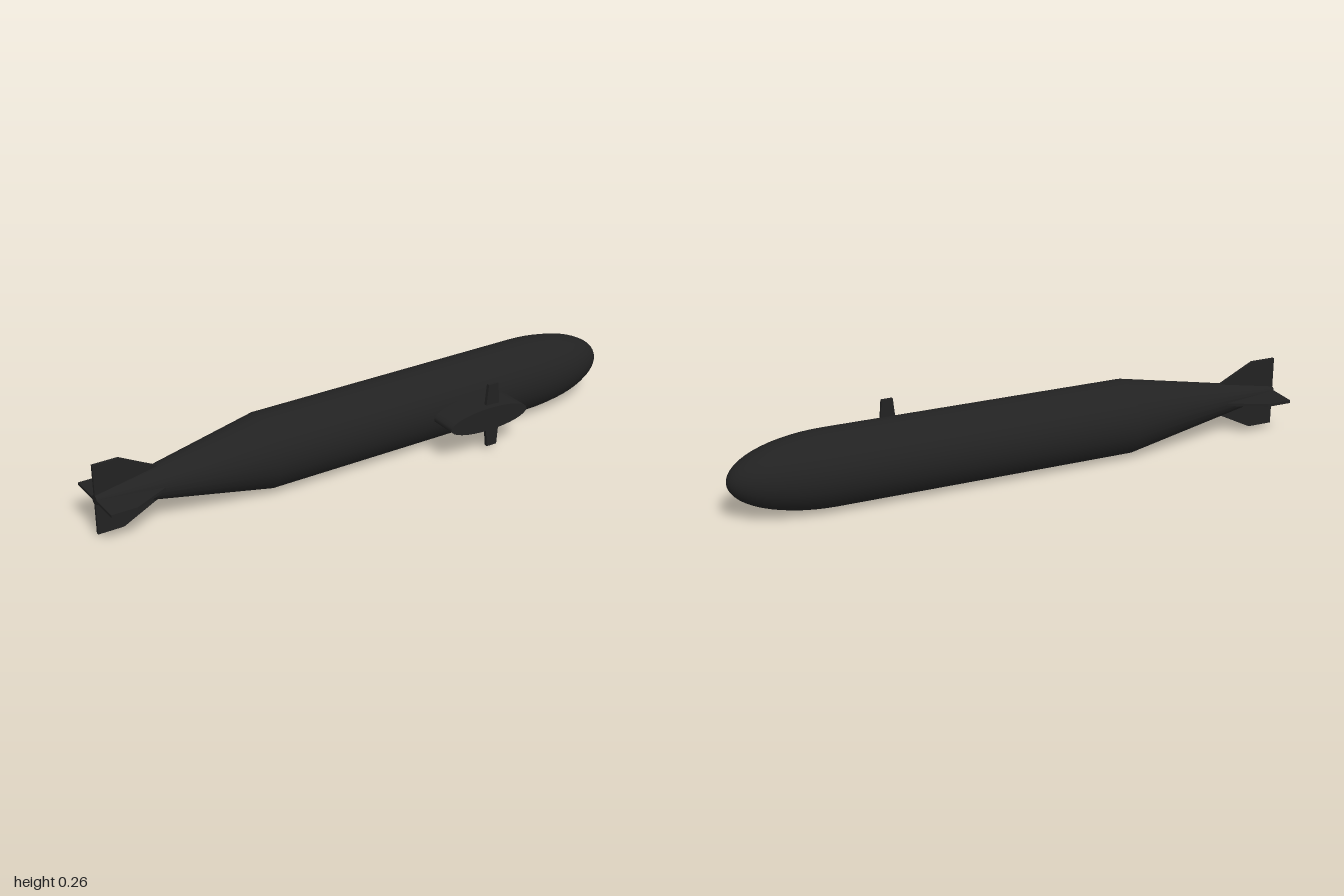
import * as THREE from 'three';

const AXIS_Y = 0.131, AXIS_Z = -0.05, R = 0.13, SIDES = 24;

export function createModel() {
  const model = new THREE.Group();
  model.name = 'submarine';
  const material = new THREE.MeshStandardMaterial({ color: 0x222222 });

  // Everything is placed relative to the hull's long axis
  const craft = new THREE.Group();
  craft.name = 'craft';
  craft.position.set(0, AXIS_Y, AXIS_Z);
  model.add(craft);

  const add = (name, geometry, parent = craft) => {
    const mesh = new THREE.Mesh(geometry, material);
    mesh.name = name;
    parent.add(mesh);
    return mesh;
  };

  // Flat plate from an outline in x/y, centred on z = 0
  const plate = (points, thickness) =>
    new THREE.ExtrudeGeometry(
      new THREE.Shape(points.map(([x, y]) => new THREE.Vector2(x, y))),
      { depth: thickness, bevelEnabled: false }
    ).translate(0, 0, -thickness / 2);

  // Straight hull with an elliptical nose, turned to lie along x
  const noseStart = 0.66, noseLength = 0.34;
  const profile = [new THREE.Vector2(R, -0.4)];
  for (let i = 0; i <= 14; i++) {
    const a = (i / 14) * Math.PI / 2;
    profile.push(new THREE.Vector2(
      i === 14 ? 0 : R * Math.cos(a), noseStart + noseLength * Math.sin(a)));
  }
  add('hull', new THREE.LatheGeometry(profile, SIDES).rotateZ(-Math.PI / 2));

  // Tapered tail cone
  add('tailCone', new THREE.CylinderGeometry(R, 0.017, 0.6, SIDES)
    .rotateZ(-Math.PI / 2).translate(-0.7, 0, 0));

  // Four tail fins in a cross
  const finOutline = [[-1, 0], [-0.78, 0.03], [-0.78, 0.057], [-0.91, 0.123], [-1, 0.123]];
  for (let i = 0; i < 4; i++) {
    add('tailFin' + (i + 1), plate(finOutline, 0.01)).rotation.x = i * Math.PI / 2;
  }

  // Elliptical sail standing out towards +z
  const sailGroup = new THREE.Group();
  sailGroup.name = 'sailAssembly';
  sailGroup.position.x = 0.36;
  craft.add(sailGroup);
  add('sail', new THREE.CylinderGeometry(1, 1, 0.18, 32)
    .rotateX(Math.PI / 2).scale(0.16, 0.042, 1).translate(0, 0, 0.14), sailGroup);

  // Pair of tapered planes across the sail
  const planeOutline = [[0, 0.02], [0.058, 0.02], [0.05, 0.117], [0.01, 0.117]];
  [1, -1].forEach((side) => {
    const plane = add(side > 0 ? 'upperSailPlane' : 'lowerSailPlane',
      plate(planeOutline, 0.012), sailGroup);
    plane.position.z = 0.202;
    if (side < 0) {
      plane.rotation.x = Math.PI;
    }
  });

  return model;
}
